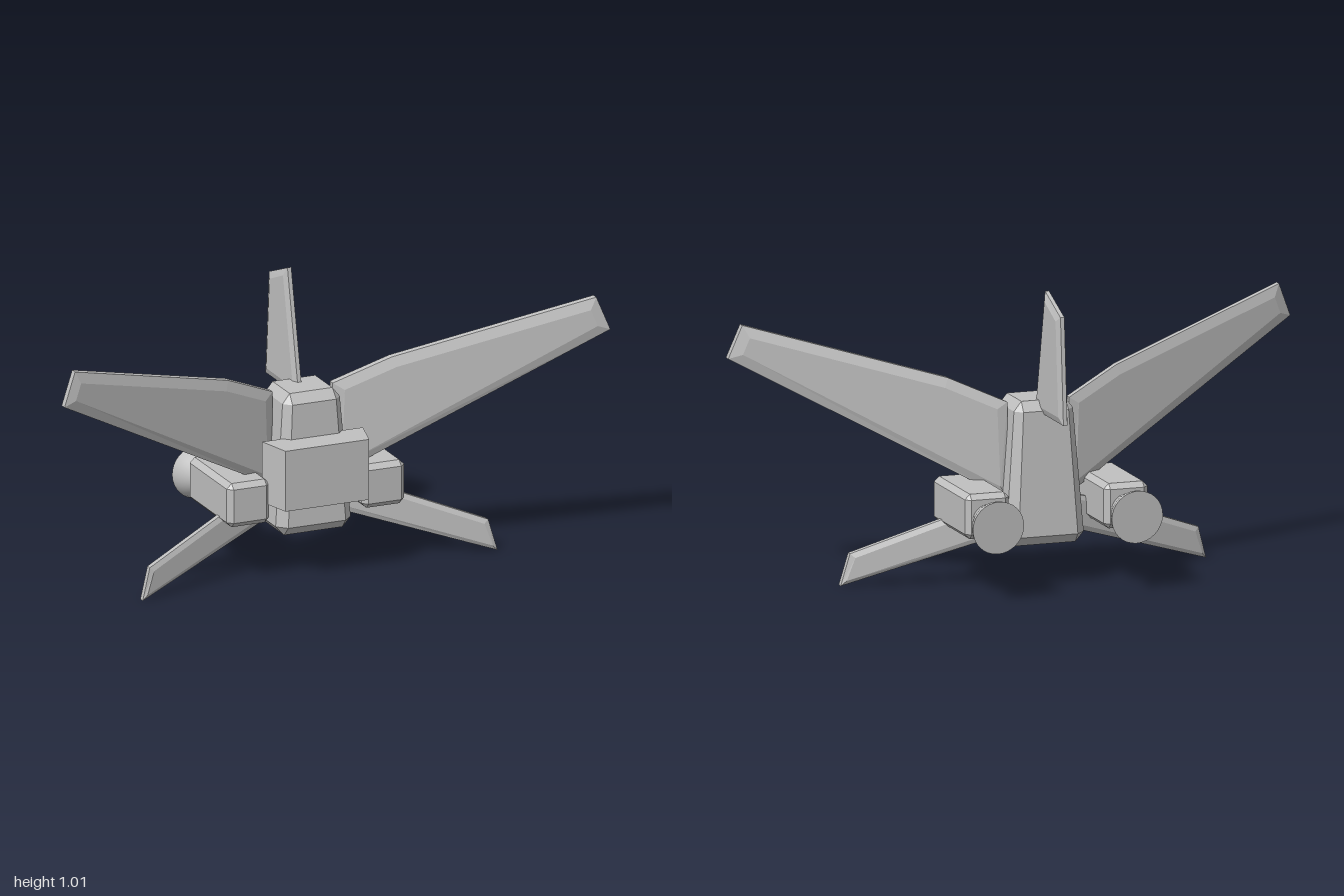
import * as THREE from 'three';
import { ConvexGeometry } from 'three/addons/geometries/ConvexGeometry.js';

const hull = new THREE.MeshStandardMaterial({ color: 0xc0c0c0 });
hull.name = 'hullGrey';

function part(name, geometry, parent) {
  const mesh = new THREE.Mesh(geometry, hull);
  mesh.name = name;
  parent.add(mesh);
  return mesh;
}

// Box with chamfered edges; the top can be narrower than the base
function chamferBox(hx, hy, hz, c, topX = 1, topZ = 1) {
  const points = [];
  for (const sx of [-1, 1]) for (const sy of [-1, 1]) for (const sz of [-1, 1]) {
    for (const [cx, cy, cz] of [[0, c, c], [c, 0, c], [c, c, 0]]) {
      const y = sy * (hy - cy);
      const t = (y + hy) / (2 * hy);
      points.push(new THREE.Vector3(
        sx * (hx - cx) * (1 + (topX - 1) * t), y,
        sz * (hz - cz) * (1 + (topZ - 1) * t)));
    }
  }
  return new ConvexGeometry(points);
}

// Flat panel with bevelled faces, centred on z = 0
function slab(outline, edge, bevel, bevelSize) {
  const shape = new THREE.Shape(outline.map(([x, y]) => new THREE.Vector2(x, y)));
  const geometry = new THREE.ExtrudeGeometry(shape, {
    depth: edge, bevelEnabled: true, bevelThickness: bevel,
    bevelSize, bevelOffset: -bevelSize, bevelSegments: 1,
  });
  return geometry.translate(0, 0, -edge / 2);
}

// Wing panel swept forward towards its tip
function wing(outline, side, z0, sweep, edge, bevel, bevelSize) {
  const geometry = slab(outline.map(([x, y]) => [x * side, y]), edge, bevel, bevelSize);
  const p = geometry.attributes.position;
  for (let i = 0; i < p.count; i++) p.setZ(i, p.getZ(i) + z0 + sweep * side * p.getX(i));
  geometry.computeVertexNormals();
  return geometry;
}

export function createModel() {
  const model = new THREE.Group();
  model.name = 'spacecraft';

  // Tapered central body
  part('body', chamferBox(0.14, 0.245, 0.122, 0.033, 0.73, 0.79), model)
    .position.set(0, 0.385, 0.015);

  // Front block, narrowing forwards
  const corners = [];
  for (const s of [-1, 1]) for (const y of [0.265, 0.478]) {
    corners.push(new THREE.Vector3(s * 0.185, y, 0.097), new THREE.Vector3(s * 0.153, y, 0.22));
  }
  part('frontBlock', new ConvexGeometry(corners), model);

  // Tail fin, drawn in (-z, y) and turned upright
  const fin = slab([[0, 0.585], [0.272, 0.585], [0.243, 0.95], [0.092, 1.01]], 0.014, 0.009, 0.025);
  part('tailFin', fin.rotateY(Math.PI / 2), model);

  const upperWing = [[0.11, 0.29], [1, 0.775], [0.955, 0.89], [0.3, 0.705], [0.11, 0.62]];
  const lowerWing = [[0.1, 0.18], [0.65, 0], [0.62, 0.11], [0.3, 0.233], [0.1, 0.3]];
  const nozzleProfile = [[0.054, 0], [0.066, 0.03], [0.078, 0.06], [0.086, 0.08], [0.091, 0.104]]
    .map(([r, y]) => new THREE.Vector2(r, y));

  for (const side of [-1, 1]) {
    const label = side > 0 ? 'left' : 'right';
    part(label + 'UpperWing', wing(upperWing, side, -0.03, 0.32, 0.024, 0.01, 0.035), model);
    part(label + 'LowerWing', wing(lowerWing, side, -0.045, 0.3, 0.02, 0.007, 0.018), model);

    // Engine pod with a slightly drooping nozzle
    const engine = new THREE.Group();
    engine.name = label + 'Engine';
    engine.position.set(side * 0.247, 0.278, -0.03);
    part('pod', chamferBox(0.078, 0.077, 0.169, 0.018), engine);

    const nozzle = new THREE.Group();
    nozzle.name = 'nozzle';
    nozzle.position.set(0, -0.012, -0.163);
    nozzle.rotation.x = -Math.PI / 2 - 0.07;
    part('nozzleWall', new THREE.LatheGeometry(nozzleProfile, 32), nozzle);
    part('nozzleEnd', new THREE.CircleGeometry(0.091, 32)
      .rotateX(-Math.PI / 2).translate(0, 0.104, 0), nozzle);
    engine.add(nozzle);
    model.add(engine);
  }
  return model;
}
